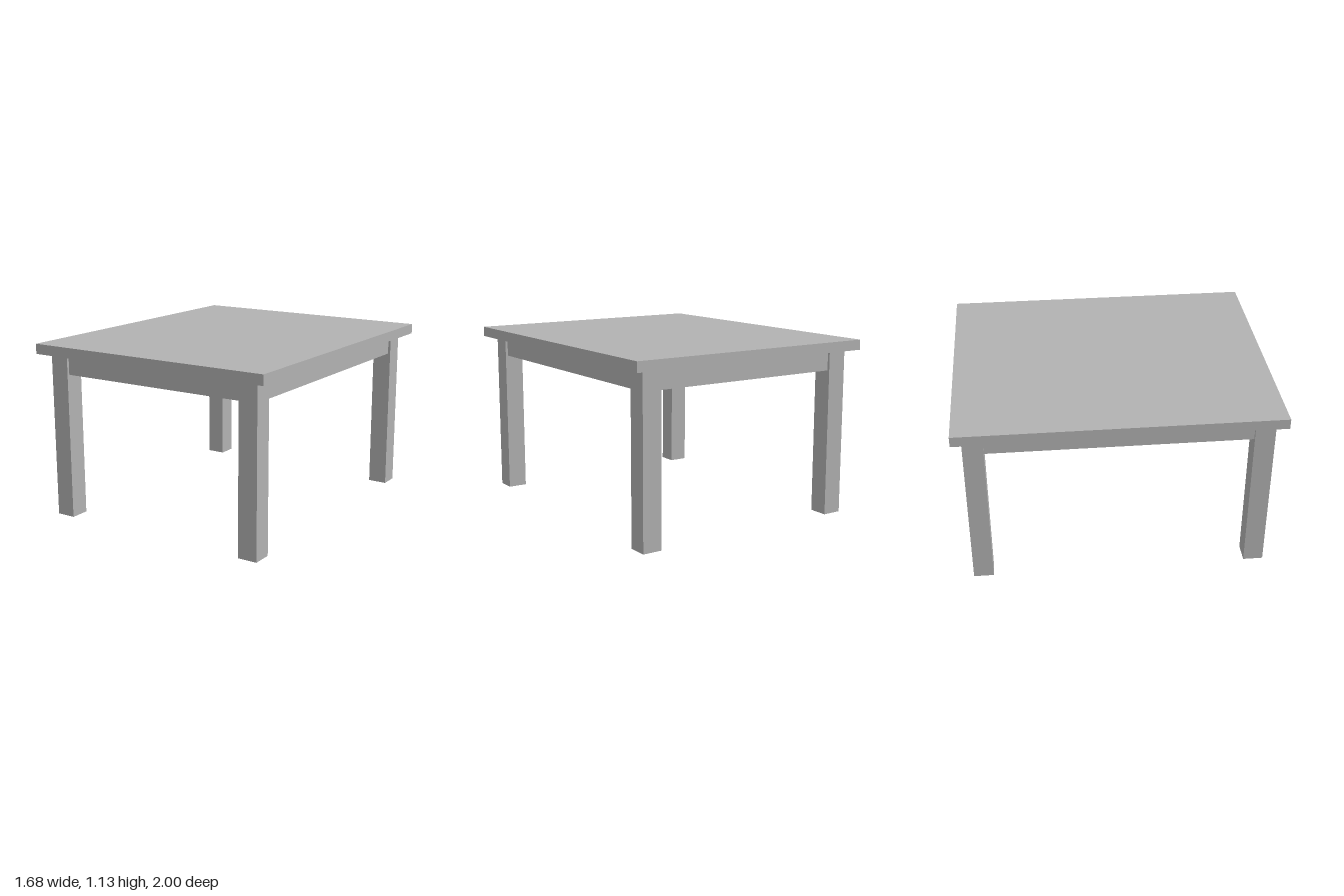
import * as THREE from 'three';

export function createModel() {
  const table = new THREE.Group();
  table.name = 'table';
  const grey = new THREE.MeshStandardMaterial({ color: 0xb2b2b2 });
  grey.name = 'plain grey';

  const topHeight = 1.135, topThickness = 0.065;
  const under = topHeight - topThickness; // underside of the top
  const leg = 0.126, legX = 0.702, legZ = 0.877; // leg width and centres
  const apronHeight = 0.125, apronThickness = 0.094;

  const addBox = (name, size, position) => {
    const mesh = new THREE.Mesh(new THREE.BoxGeometry(...size), grey);
    mesh.name = name;
    mesh.position.set(...position);
    table.add(mesh);
  };

  // Overhanging slab
  addBox('tableTop', [1.68, topThickness, 2], [0, topHeight - topThickness / 2, 0]);

  // Four square legs
  for (const [sideX, nameX] of [[1, 'Left'], [-1, 'Right']]) {
    for (const [sideZ, nameZ] of [[1, 'front'], [-1, 'back']]) {
      addBox(`${nameZ}${nameX}Leg`, [leg, under, leg], [sideX * legX, under / 2, sideZ * legZ]);
    }
  }

  // Aprons between the legs, slightly thinner than the legs and centred on them
  const apronY = under - apronHeight / 2;
  for (const side of [1, -1]) {
    addBox(side > 0 ? 'frontApron' : 'backApron',
      [2 * legX - leg, apronHeight, apronThickness], [0, apronY, side * legZ]);
    addBox(side > 0 ? 'leftApron' : 'rightApron',
      [apronThickness, apronHeight, 2 * legZ - leg], [side * legX, apronY, 0]);
  }

  return table;
}
